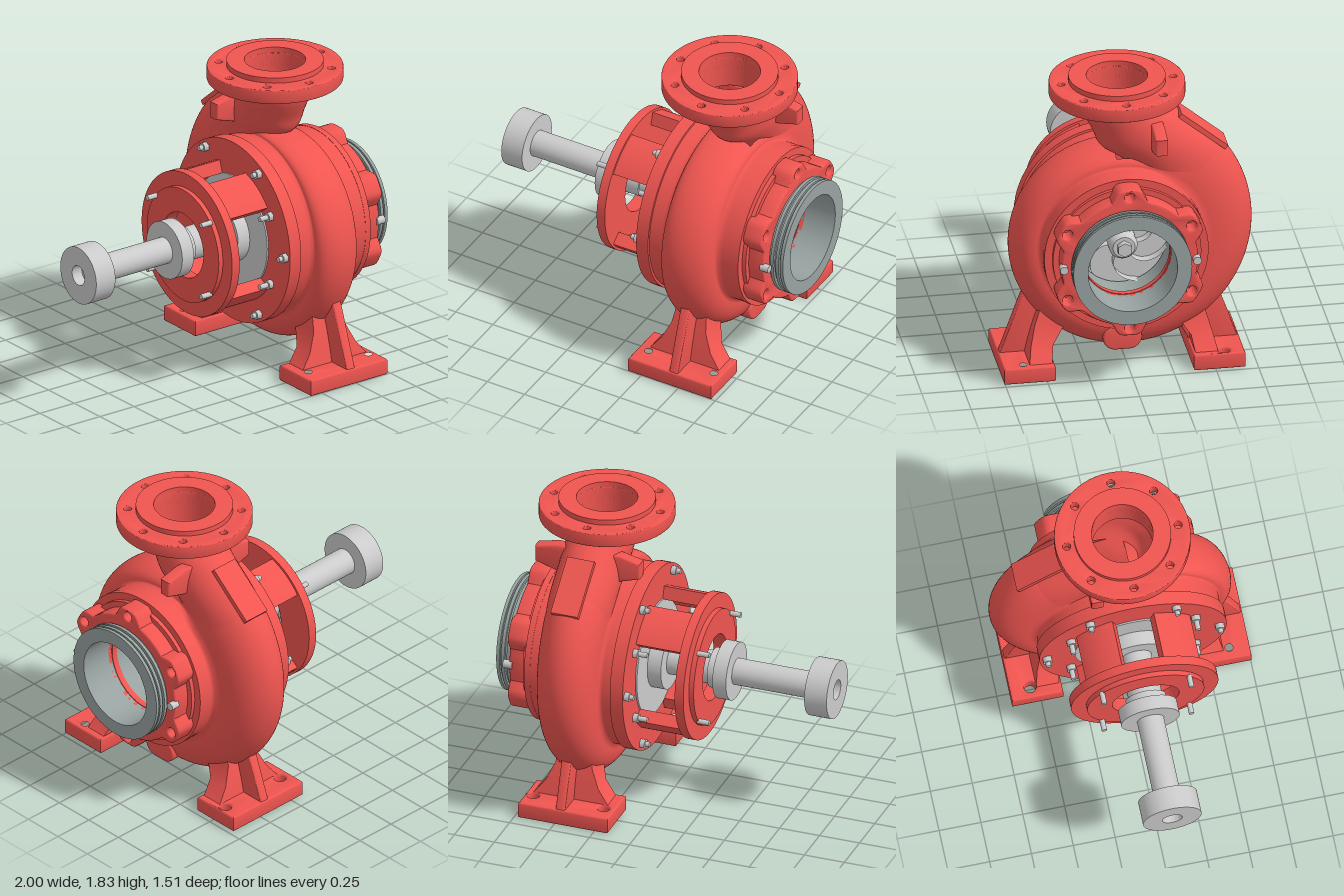
import * as THREE from 'three';
import { toCreasedNormals } from 'three/addons/utils/BufferGeometryUtils.js';

const red = new THREE.MeshStandardMaterial({ color: 0xf05550 });
const redShell = new THREE.MeshStandardMaterial({ color: 0xf05550, side: THREE.DoubleSide });
const grey = new THREE.MeshStandardMaterial({ color: 0xcccccc });
const greyThin = new THREE.MeshStandardMaterial({ color: 0xcccccc, side: THREE.DoubleSide });
const darkGrey = new THREE.MeshStandardMaterial({ color: 0x98a3a1 });
const { PI, cos, sin } = Math;
const rad = THREE.MathUtils.degToRad, lerp = THREE.MathUtils.lerp;

export function createModel() {
  const root = new THREE.Group();
  root.name = 'centrifugalPump';
  // Working frame: u across, v up from the shaft axis, d along the shaft.
  const pump = new THREE.Group();
  pump.name = 'pump';
  pump.rotation.y = PI / 2;
  pump.position.set(0, 0.825, 0.04);
  root.add(pump);

  const add = (name, geo, mat) => {
    const m = new THREE.Mesh(geo, mat);
    m.name = name;
    pump.add(m);
    return m;
  };
  // Solid of revolution about the shaft, profile of [radius, d]
  const turn = (name, profile, mat, seg = 72) => {
    const g = new THREE.LatheGeometry(profile.map(p => new THREE.Vector2(...p)), seg);
    return add(name, toCreasedNormals(g.rotateX(PI / 2), 0.6), mat);
  };
  const ring = (name, ri, ro, d0, d1, mat) =>
    turn(name, [[ri, d0], [ro, d0], [ro, d1], [ri, d1], [ri, d0]], mat);
  const rod = (name, r, d0, d1, mat, u = 0, v = 0, seg = 40) =>
    add(name, new THREE.CylinderGeometry(r, r, d1 - d0, seg).rotateX(PI / 2).translate(u, v, (d0 + d1) / 2), mat);
  const hole = (x, y, r) => new THREE.Path().absarc(x, y, r, 0, PI * 2, true);
  const extrude = (shape, depth, bevel = 0) => {
    const g = new THREE.ExtrudeGeometry(shape, {
      depth: depth - 2 * bevel, curveSegments: 32, bevelEnabled: bevel > 0,
      bevelSize: bevel, bevelThickness: bevel, bevelOffset: -bevel, bevelSegments: 3,
    });
    return toCreasedNormals(g.translate(0, 0, bevel), 0.6);
  };
  const polygon = pts => new THREE.Shape(pts.map(p => new THREE.Vector2(...p)));
  // Surface through a grid of points; skip(i, j) leaves openings
  const grid = (rows, cols, point, skip = () => false) => {
    const pos = [], idx = [];
    for (let i = 0; i <= rows; i++) for (let j = 0; j <= cols; j++) pos.push(...point(i / rows, j / cols));
    for (let i = 0; i < rows; i++) for (let j = 0; j < cols; j++) {
      if (skip(i / rows, j / cols)) continue;
      const a = i * (cols + 1) + j, b = a + cols + 1;
      idx.push(a, b, a + 1, b, b + 1, a + 1);
    }
    const g = new THREE.BufferGeometry();
    g.setAttribute('position', new THREE.Float32BufferAttribute(pos, 3));
    g.setIndex(idx);
    g.computeVertexNormals();
    return g;
  };

  // Spiral casing: the outer radius grows around the shaft, then gives way to the outlet neck
  const spiral = deg => {
    if (deg < 100) return 0.575;
    const r = 0.575 + Math.min((deg - 100) / 300, 1) * 0.25;
    return lerp(r, 0.575, THREE.MathUtils.smoothstep(deg, 408, 435));
  };
  add('voluteCasing', grid(120, 40, (s, t) => {
    const deg = 75 + s * 360, a = rad(deg), R = spiral(deg);
    const w = lerp(0.15, 0.19, (R - 0.575) / 0.25);
    let d, r;
    if (t <= 0.1) { d = lerp(0.2, 0.47 - w, t * 10); r = 0.545; }
    else if (t >= 0.9) { d = lerp(0.47 + w, 0.77, (t - 0.9) * 10); r = 0.485; }
    else {
      const k = (t - 0.1) / 0.8, base = lerp(0.545, 0.485, k);
      d = 0.47 - w * cos(k * PI);
      r = base + (R - lerp(0.545, 0.485, 0.5)) * Math.pow(sin(k * PI), 0.8);
    }
    return [r * cos(a), r * sin(a), d];
  }, (s, t) => (s < 0.045 || s > 0.96) && t > 0.25 && t < 0.75), redShell);

  // Outlet neck, lofted between its two side outlines
  const line = pts => new THREE.CatmullRomCurve3(pts.map(([z, y]) => new THREE.Vector3(0.04 - z, y - 0.825, 0)));
  const inner = line([[-0.2, 1.1], [0, 1.3], [0.15, 1.41], [0.19, 1.5], [0.25, 1.63], [0.26, 1.73]]);
  const outer = line([[-0.62, 1.12], [-0.585, 1.35], [-0.34, 1.575], [-0.235, 1.65], [-0.185, 1.69], [-0.18, 1.73]]);
  add('outletNeck', grid(36, 48, (s, t) => {
    const L = inner.getPoint(s), R = outer.getPoint(s), a = -t * PI * 2;
    const p = L.clone().add(R).multiplyScalar(0.5).addScaledVector(R.sub(L), cos(a) / 2);
    return [p.x, p.y, lerp(0.47, 0.445, s) + lerp(0.185, 0.205, s) * sin(a)];
  }), redShell);

  // Outlet flange with eight bolt holes, raised face and bore
  const disc = (r, bolts) => {
    const s = new THREE.Shape().absarc(0, 0, r, 0, PI * 2);
    s.holes.push(hole(0, 0, 0.18));
    for (let i = 0; i < bolts; i++) s.holes.push(hole(0.333 * cos(i * PI / 4), 0.333 * sin(i * PI / 4), 0.023));
    return s;
  };
  const upright = g => g.rotateX(-PI / 2);
  add('outletFlange', upright(extrude(disc(0.4, 8), 0.085, 0.006)), red).position.set(0, 0.89, 0.44);
  add('outletRaisedFace', upright(extrude(disc(0.285, 0), 0.035)), red).position.set(0, 0.973, 0.44);
  add('outletBore', new THREE.CylinderGeometry(0.18, 0.18, 0.2, 48, 1, true), redShell).position.set(0, 0.87, 0.44);

  // Lifting lugs through the neck
  add('liftingLugs', extrude(polygon([[0.145, 0.635], [0.27, 0.595], [0.67, 0.595], [0.8, 0.635],
    [0.8, 0.735], [0.67, 0.765], [0.27, 0.765], [0.145, 0.735]]), 0.075, 0.012)
    .rotateY(-PI / 2).translate(0.245, 0, 0), red);

  // Cast pad on the back of the spiral
  const pad = add('castPad', new THREE.BoxGeometry(0.36, 0.03, 0.17), red);
  pad.position.set(0.495, 0.648, 0.465);
  pad.rotation.z = Math.atan2(-0.225, 0.27);

  // Drain boss
  const boss = new THREE.Shape().absarc(-0.04, 0, 0.075, PI / 2, PI * 1.5).absarc(0.04, 0, 0.075, -PI / 2, PI / 2);
  add('drainBoss', extrude(boss, 0.25, 0.012).translate(0, -0.615, 0.395), red);

  // Feet: drilled base plate, tapered pillar and central web
  for (const side of [-1, 1]) {
    const base = polygon([[0.41, -0.725], [0.715, -0.725], [0.715, -0.165], [0.41, -0.165]]
      .map(([u, d]) => [u * side, d]));
    for (const d of [0.235, 0.675]) base.holes.push(hole(0.595 * side, -d, 0.035));
    add('footPlate', upright(extrude(base, 0.1, 0.012)).translate(0, -0.825, 0), red);
    // sections: v, inner u, outer u, half depth
    const sec = [[-0.73, 0.425, 0.56, 0.235], [-0.64, 0.41, 0.54, 0.165], [-0.53, 0.33, 0.51, 0.115], [-0.35, 0.3, 0.45, 0.09]];
    const pillar = grid(3, 4, (s, t) => {
      const [v, a, b, h] = sec[Math.round(s * 3)], c = Math.round(t * 4) % 4;
      return [side * (c === 1 || c === 2 ? b : a), v, 0.455 + (c < 2 ? -h : h)];
    });
    add('footPillar', toCreasedNormals(pillar, 0.5), redShell);
    add('footWeb', extrude(polygon([[0.42, -0.735], [0.71, -0.735], [0.575, -0.36], [0.45, -0.2], [0.3, -0.5]]
      .map(([u, v]) => [u * side, v])), 0.06, 0.01).translate(0, 0, 0.435), red);
  }

  // Back cover flange and suction-side step
  ring('coverFlange', 0.34, 0.56, 0.13, 0.21, red);
  ring('suctionStep', 0.26, 0.487, 0.738, 0.775, red);
  ring('suctionNeck', 0.265, 0.44, 0.76, 0.8, red);

  // Lobed suction flange with six bolt holes
  const lobed = new THREE.Shape();
  for (let i = 0; i < 144; i++) {
    const a = i * PI / 72, r = 0.405 + 0.068 * THREE.MathUtils.smoothstep(-cos(6 * a), -0.1, 0.85);
    lobed[i ? 'lineTo' : 'moveTo'](r * cos(a), r * sin(a));
  }
  lobed.holes.push(hole(0, 0, 0.27));
  for (let i = 0; i < 6; i++) {
    const a = rad(30 + 60 * i);
    lobed.holes.push(hole(0.425 * cos(a), 0.425 * sin(a), 0.03));
  }
  add('suctionFlange', extrude(lobed, 0.125, 0.01).translate(0, 0, 0.775), red);
  for (const s of [-1, 1]) rod('suctionStud', 0.025, 0.88, 0.935, grey, 0.395 * s, 0, 12);

  // Grooved suction ring and liner
  turn('suctionRing', [[0.265, 0.6], [0.3, 0.6], [0.3, 0.89], [0.335, 0.89], [0.335, 0.915], [0.352, 0.915],
    [0.352, 0.935], [0.335, 0.935], [0.335, 0.95], [0.352, 0.95], [0.352, 0.97], [0.335, 0.97],
    [0.335, 0.98], [0.352, 0.98], [0.352, 1], [0.265, 1], [0.265, 0.6]], darkGrey);

  // Impeller with curved blades, hub and nut
  rod('impellerDisc', 0.42, 0.4, 0.58, grey, 0, 0, 64);
  for (let i = 0; i < 6; i++) add('impellerBlade', grid(14, 1, (s, t) => {
    const r = 0.06 + 0.21 * s, a = i * PI / 3 + 0.9 * s * s;
    return [r * cos(a), r * sin(a), 0.57 + 0.07 * t];
  }), greyThin);
  turn('impellerHub', [[0.085, 0.57], [0.085, 0.66], [0.065, 0.69], [0, 0.69]], grey, 40);
  rod('impellerNut', 0.045, 0.68, 0.73, grey, 0, 0, 6).geometry.computeVertexNormals();

  // Bearing bracket: stepped end plate and four arms
  turn('bracketPlate', [[0.2, -0.235], [0.35, -0.235], [0.35, -0.205], [0.44, -0.205], [0.44, -0.15],
    [0.2, -0.15], [0.2, -0.235]], red);
  for (const start of [37, 107, 217, 287]) {
    const a = rad(start), b = rad(start + 36);
    const arm = new THREE.Shape().absarc(0, 0, 0.425, a, b).absarc(0, 0, 0.345, b, a, true);
    add('bracketArm', extrude(arm, 0.3).translate(0, 0, -0.16), red);
  }

  // Shaft, couplings, bearing and seal
  ring('shaftEnd', 0.06, 0.175, -1, -0.86, grey);
  rod('shaft', 0.08, -0.93, 0.45, grey);
  rod('shaftCollar', 0.175, -0.37, -0.285, grey);
  rod('bearingCap', 0.12, -0.285, -0.23, grey);
  rod('bearing', 0.1, -0.23, -0.12, grey);
  rod('shaftSleeve', 0.088, -0.12, 0.04, grey);
  rod('sealCover', 0.18, 0.035, 0.13, grey, 0, 0, 56);
  rod('backCover', 0.35, 0.12, 0.18, grey, 0, 0, 64);

  // Studs and nuts: [count angles, radius, stud start, plate face]
  const studs = [
    [[0, 60, 120, 180, 240, 300], 0.515, 0.075, 0.13],
    [[30, 150, 210, 330], 0.43, 0.045, 0.13],
    [[41, 139, 221, 319], 0.345, -0.3, -0.235],
  ];
  for (const [angles, r, d0, d1] of studs) for (const deg of angles) {
    const u = r * cos(rad(deg)), v = r * sin(rad(deg));
    rod('stud', 0.016, d0, d1 + 0.01, grey, u, v, 12);
    if (d0 > 0) rod('nut', 0.03, d1 - 0.03, d1 + 0.005, grey, u, v, 6);
  }
  return root;
}
